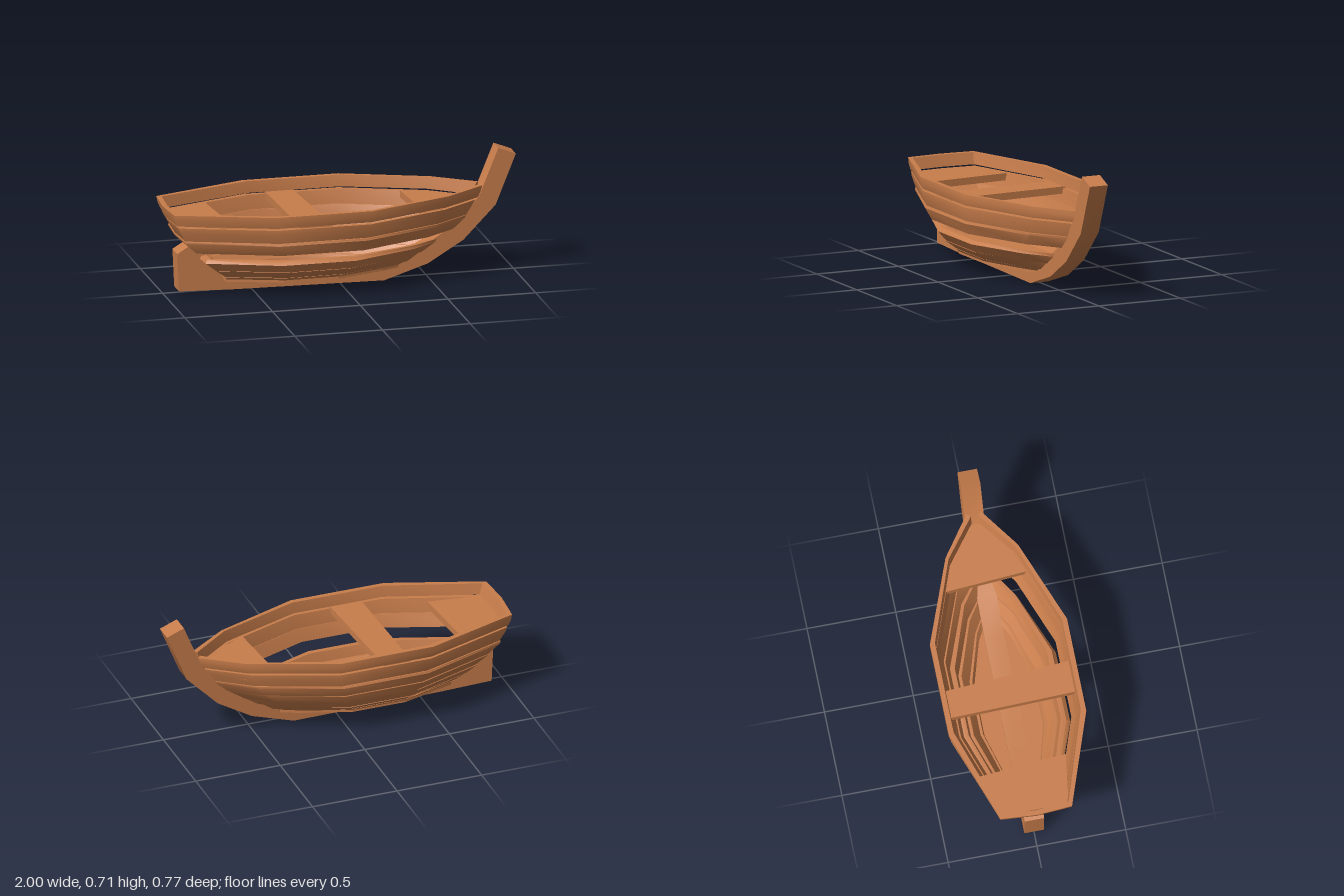
import * as THREE from 'three';
import { toCreasedNormals } from 'three/addons/utils/BufferGeometryUtils.js';

// Half-plan stations: [fraction of length, fraction of half width], stern to bow
const STATIONS = [[0.008, 0.52], [0.304, 1], [0.608, 1], [0.873, 0.53]];

// Outline of the hull at one level, running bow (+z) -> stern -> bow (-z)
function plan([y, xs, xb, w], inset = 0) {
  const x0 = xs + inset, x1 = xb - inset * 0.6, hw = w - inset;
  const half = STATIONS.map(([u, v]) => [x0 + (x1 - x0) * u, y, hw * v]);
  half.push([x1, y, 0.042 - inset * 0.8]);
  const mirrored = half.map(([x, h, z]) => [x, h, -z]);
  return [...half.reverse(), [x0, y, 0], ...mirrored];
}

// Plank band lofted from its cross-section loops, with closed ends
function strakeGeometry(top, shoulder, bottom, from) {
  const t = 0.028;
  const rails = [plan(top), plan(shoulder), plan(bottom), plan(bottom, t), plan(top, t)]
    .map((r) => r.slice(from));
  const n = rails[0].length, m = rails.length, pos = [];
  const tri = (...c) => c.forEach(([i, j]) => pos.push(...rails[j % m][i]));
  for (let i = 0; i < n - 1; i++) {
    for (let j = 0; j < m; j++) {
      tri([i, j], [i + 1, j], [i, j + 1]);
      tri([i + 1, j], [i + 1, j + 1], [i, j + 1]);
    }
  }
  for (let j = 1; j < m - 1; j++) {
    tri([0, 0], [0, j], [0, j + 1]);
    tri([n - 1, 0], [n - 1, j + 1], [n - 1, j]);
  }
  const g = new THREE.BufferGeometry();
  g.setAttribute('position', new THREE.Float32BufferAttribute(pos, 3));
  return toCreasedNormals(g, 0.7);
}

function extrude(points, depth) {
  const shape = new THREE.Shape(points.map(([x, y]) => new THREE.Vector2(x, y)));
  return new THREE.ExtrudeGeometry(shape, { depth, bevelEnabled: false });
}

// Horizontal board from an [x, z] outline
function board(points, yTop, thickness) {
  const g = extrude(points.map(([x, z]) => [x, -z]), thickness);
  g.rotateX(-Math.PI / 2);
  g.translate(0, yTop - thickness, 0);
  return g;
}

export function createModel() {
  const boat = new THREE.Group();
  boat.name = 'rowingBoat';
  const wood = new THREE.MeshStandardMaterial({ color: 0xc87d4b });
  wood.name = 'wood';
  const add = (name, geometry) => {
    const mesh = new THREE.Mesh(geometry, wood);
    mesh.name = name;
    boat.add(mesh);
  };

  // Strakes, each as [y, stern x, bow x, half width] at top, shoulder and bottom
  const strakes = [
    [[0.502, -1.0, 0.81, 0.386], [0.47, -0.993, 0.81, 0.387], [0.437, -0.98, 0.79, 0.378]],
    [[0.425, -0.972, 0.78, 0.378], [0.4, -0.962, 0.77, 0.378], [0.345, -0.93, 0.735, 0.363]],
    [[0.342, -0.935, 0.735, 0.365], [0.33, -0.932, 0.73, 0.37], [0.268, -0.865, 0.66, 0.342]],
    [[0.274, -0.87, 0.66, 0.335], [0.262, -0.868, 0.65, 0.342], [0.2, -0.79, 0.56, 0.308]],
    [[0.218, -0.795, 0.57, 0.287], [0.2, -0.805, 0.56, 0.308], [0.148, -0.74, 0.48, 0.27]],
    [[0.158, -0.735, 0.48, 0.255], [0.148, -0.74, 0.47, 0.274], [0.1, -0.68, 0.4, 0.21]],
    [[0.106, -0.68, 0.4, 0.2], [0.099, -0.685, 0.39, 0.212], [0.078, -0.66, 0.34, 0.19]],
  ];
  // The fourth plank is missing on the +z side
  strakes.forEach((s, i) => add(`strake${i + 1}`, strakeGeometry(...s, i === 3 ? 5 : 0)));

  // Bottom boards
  const floor = plan([0, -0.67, 0.36, 0.195]).map(([x, , z]) => [x, z]);
  add('floor', board(floor, 0.086, 0.016));

  // Keel, stern skeg and raised stem in one timber
  const keel = extrude([
    [-0.92, 0.02], [-0.6, 0.01], [0.25, 0], [0.5, 0.08], [0.7, 0.2], [0.885, 0.39], [1, 0.675],
    [0.9, 0.715], [0.79, 0.445], [0.64, 0.285], [0.45, 0.17], [0.22, 0.098],
    [-0.64, 0.105], [-0.83, 0.275], [-0.86, 0.278], [-0.93, 0.235],
  ], 0.11);
  keel.translate(0, 0, -0.055);
  add('keelAndStem', toCreasedNormals(keel, 0.7));

  // Seats
  add('sternSeat', board([[-0.94, -0.19], [-0.69, -0.26], [-0.65, 0.23], [-0.94, 0.19]], 0.425, 0.04));
  add('middleSeat', board([[-0.325, -0.365], [-0.165, -0.365], [-0.12, 0.36], [-0.305, 0.36]], 0.435, 0.04));
  add('bowSeat', board([[0.41, -0.25], [0.57, -0.18], [0.77, -0.03], [0.77, 0.03], [0.57, 0.17], [0.445, 0.225]], 0.425, 0.04));

  return boat;
}
